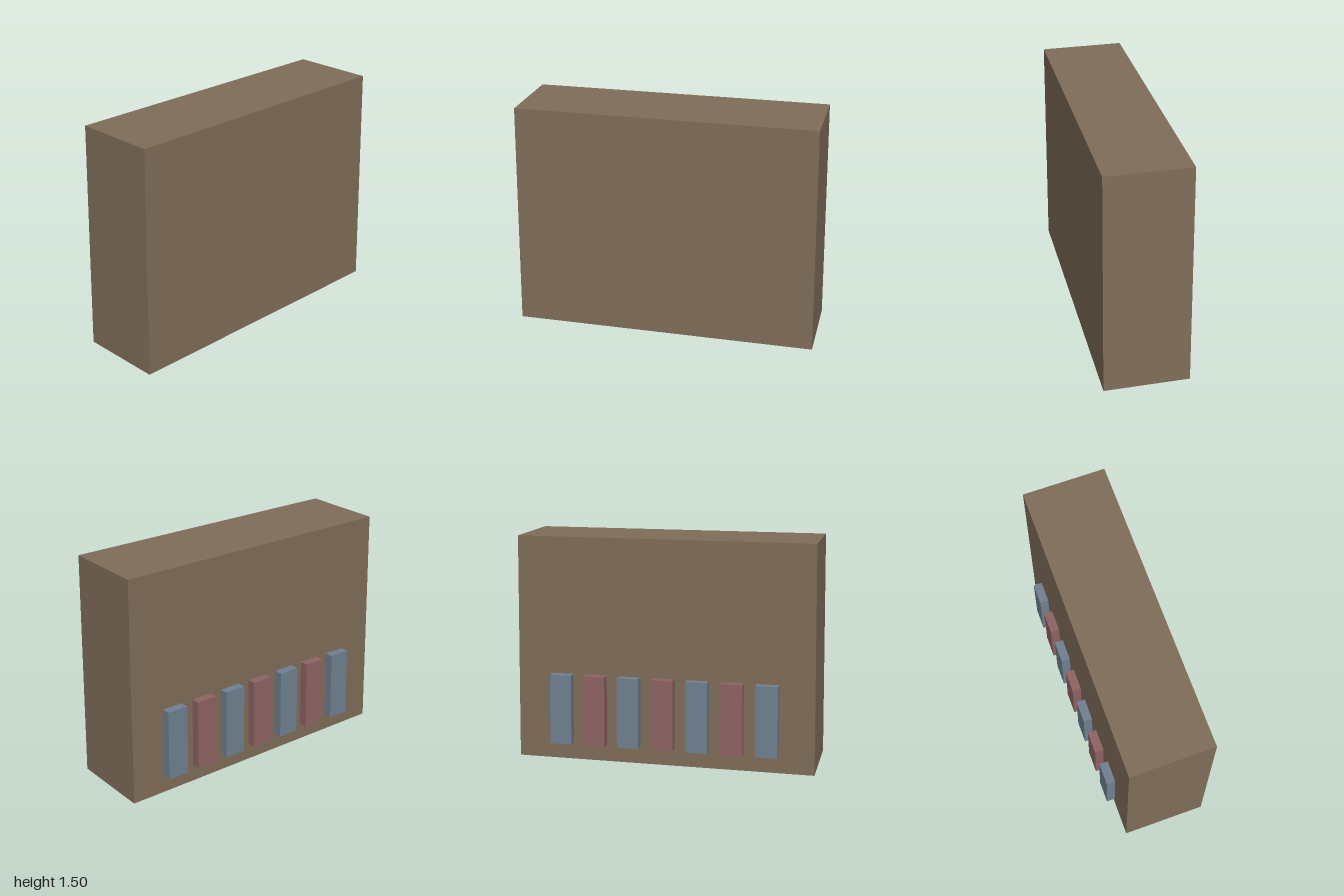
import * as THREE from 'three';

const HEIGHT = 1.5, AXIS_Z = 0.03, TAPER = 0.022;

// Box between two corners, narrowing slightly with height around the block's axis
function taperedBox(name, min, max, color) {
  const size = max.map((v, i) => v - min[i]);
  const geometry = new THREE.BoxGeometry(...size);
  geometry.translate(...max.map((v, i) => (v + min[i]) / 2));
  const p = geometry.attributes.position;
  for (let i = 0; i < p.count; i++) {
    const s = 1 - TAPER * p.getY(i) / HEIGHT;
    p.setX(i, p.getX(i) * s);
    p.setZ(i, AXIS_Z + (p.getZ(i) - AXIS_Z) * s);
  }
  geometry.computeVertexNormals();
  const mesh = new THREE.Mesh(geometry, new THREE.MeshStandardMaterial({ color, flatShading: true }));
  mesh.name = name;
  return mesh;
}

export function createModel() {
  const model = new THREE.Group();
  model.name = 'blockWithPanels';

  // Main block
  model.add(taperedBox('body', [-1, 0, -0.25], [1, HEIGHT, 0.31], 0x806d59));

  // Row of alternating upright panels on the back, slightly sunk into the block
  const panels = new THREE.Group();
  panels.name = 'backPanels';
  const width = 0.147, spacing = 0.231;
  for (let i = -3; i <= 3; i++) {
    const x = i * spacing;
    panels.add(taperedBox(`panel${i + 4}`,
      [x - width / 2, 0.115, -0.309], [x + width / 2, 0.588, -0.24],
      i % 2 ? 0x708090 : 0x8f6363));
  }
  // The outermost panels are blue, the centre one red
  model.add(panels);
  return model;
}
